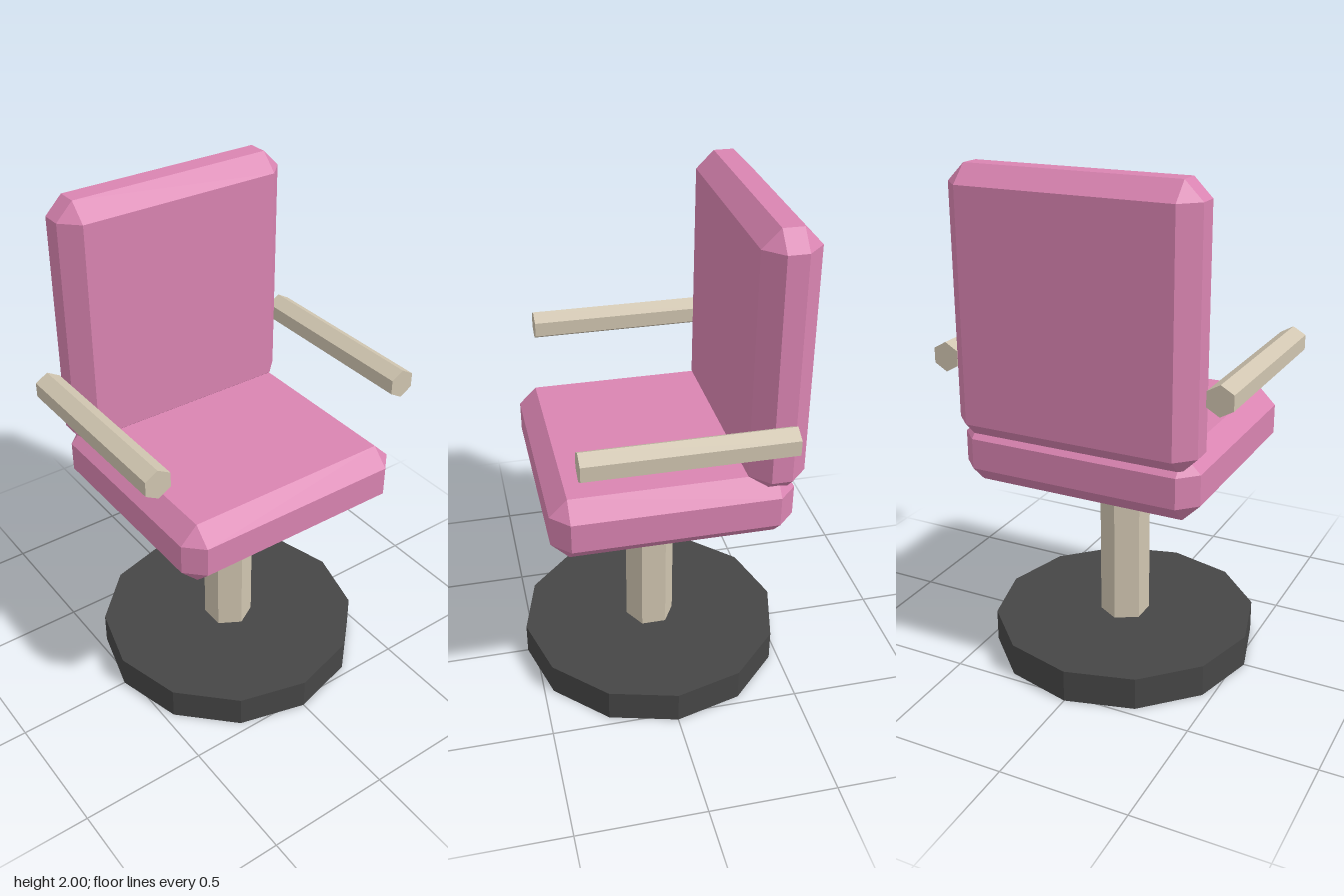
import * as THREE from 'three';
import { ConvexGeometry } from 'three/addons/geometries/ConvexGeometry.js';

const material = (name, color) => {
  const m = new THREE.MeshStandardMaterial({ color, flatShading: true });
  m.name = name;
  return m;
};

// Box with every edge cut by a single flat bevel, given by its min and max corners
function bevelledBox(min, max, bevel) {
  const half = min.map((v, i) => (max[i] - v) / 2);
  const points = [];
  for (const sx of [-1, 1]) for (const sy of [-1, 1]) for (const sz of [-1, 1]) {
    for (let axis = 0; axis < 3; axis++) {
      const [x, y, z] = half.map((h, i) => (i === axis ? h : h - bevel));
      points.push(new THREE.Vector3(sx * x, sy * y, sz * z));
    }
  }
  const geometry = new ConvexGeometry(points);
  return geometry.translate(...min.map((v, i) => (v + max[i]) / 2));
}

export function createModel() {
  const group = new THREE.Group();
  group.name = 'swivelChair';
  const pink = material('pink upholstery', 0xd984b1);
  const beige = material('beige frame', 0xd0c5b0);
  const charcoal = material('charcoal base', 0x464646);

  const add = (name, geometry, mat) => {
    const mesh = new THREE.Mesh(geometry, mat);
    mesh.name = name;
    group.add(mesh);
    return mesh;
  };

  // Twelve-sided foot and six-sided post
  add('base', new THREE.CylinderGeometry(0.535, 0.535, 0.13, 12).translate(0, 0.065, 0), charcoal);
  add('post', new THREE.CylinderGeometry(0.1, 0.1, 0.7, 6).translate(0, 0.47, 0), beige);

  // Cushions
  add('seat', bevelledBox([-0.483, 0.795, -0.457], [0.483, 1.05, 0.459], 0.068), pink);
  add('backrest', bevelledBox([-0.483, 0.985, -0.491], [0.483, 2, -0.277], 0.068), pink);

  // Hexagonal armrest bars
  for (const [name, side] of [['leftArmrest', 1], ['rightArmrest', -1]]) {
    const bar = new THREE.CylinderGeometry(0.058, 0.058, 0.77, 6).rotateX(Math.PI / 2);
    add(name, bar, beige).position.set(side * 0.55, 1.27, -0.017);
  }
  return group;
}
